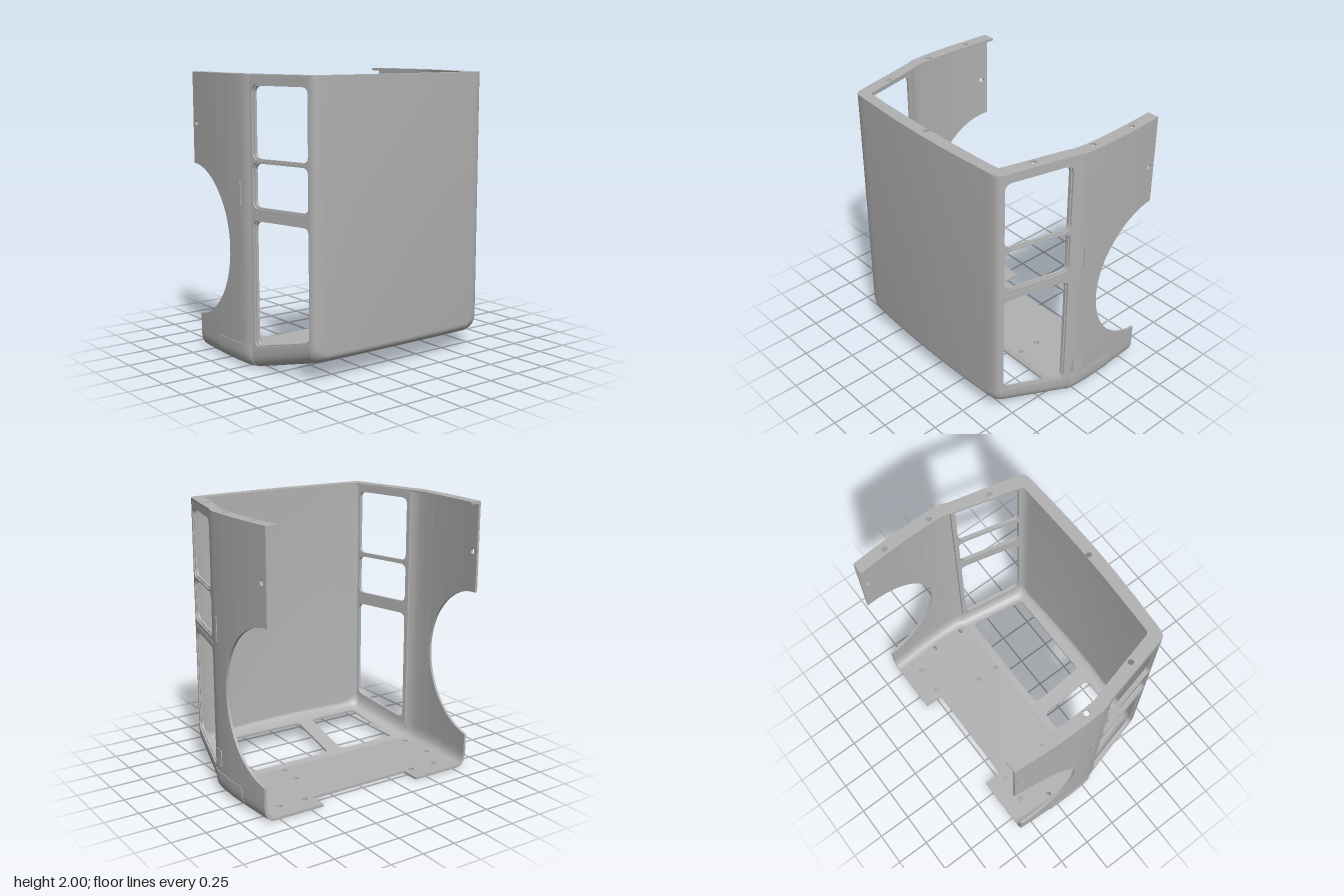
import * as THREE from 'three';
import { toCreasedNormals } from 'three/addons/utils/BufferGeometryUtils.js';

const T = 0.018; // sheet thickness

// Plan stations of one half: outer x, z and the matching inner (flange / floor edge) x, z
const STATIONS = [
  [-0.66, 0.862, -0.66, 0.775], [-0.5, 0.875, -0.5, 0.787], [-0.3, 0.885, -0.3, 0.797],
  [-0.145, 0.887, -0.145, 0.8], [0, 0.882, 0, 0.793], [0.05, 0.873, 0.05, 0.782],
  [0.08, 0.857, 0.07, 0.773], [0.58, 0.738, 0.532, 0.655], [0.602, 0.73, 0.54, 0.651],
  [0.618, 0.712, 0.546, 0.645], [0.626, 0.685, 0.55, 0.635], [0.63, 0.63, 0.553, 0.6],
  [0.643, 0.4, 0.561, 0.4], [0.651, 0.2, 0.567, 0.2], [0.654, 0, 0.569, 0],
];
const PILLAR = 6, CORNER = 7;
const flipZ = ([x, z, ix, iz]) => [x, -z, ix, -iz];
const bothHalves = (half) => [...half, ...half.slice(0, -1).reverse().map(flipZ)];

// Station at any x along the side
function at(x) {
  let i = 0;
  while (i < CORNER - 1 && x > STATIONS[i + 1][0]) i++;
  const a = STATIONS[i], b = STATIONS[i + 1], k = (x - a[0]) / (b[0] - a[0]);
  return a.map((v, n) => v + (b[n] - v) * k);
}

const bottom = (x) => Math.max(0, (x - 0.07) * 0.25);       // floor rises towards the end panel
const archOffset = (x) => 0.55 * Math.sqrt(Math.max(0, 1 - ((x + 0.66) / 0.515) ** 2));
const archTop = (x) => 0.8 + archOffset(x);
const archLow = (x) => 0.8 - archOffset(x);
const bendHeight = (z) => 0.05 + 0.07 * Math.min(1, Math.max(0, (Math.abs(z) - 0.62) / 0.1));

// Wall section between two heights
function wallSection(s, top, low) {
  const f = T / Math.hypot(s[0] - s[2], s[1] - s[3]);
  const p = (k, y) => new THREE.Vector3(s[0] + (s[2] - s[0]) * k, y, s[1] + (s[3] - s[1]) * k);
  return { outer: [p(0, top), p(0, low)], inner: [p(f, top), p(f, low)] };
}

// Section with the rounded bend into the floor; top is optional, raise pushes it outwards
function bendSection(s, top, raise = 0) {
  const len = Math.hypot(s[0] - s[2], s[1] - s[3]), y0 = bottom(s[0]), y1 = bottom(s[2]);
  const side = (f, lift) => {
    const pts = top === undefined ? [] : [[f, top]];
    for (let i = 0; i <= 7; i++) {
      const t = i / 7, u = 1 - t;
      pts.push([f * (1 - t * t) + t * t,
        u * u * (y0 + bendHeight(s[1])) + 2 * u * t * (y0 + lift) + t * t * (y1 + lift)]);
    }
    return pts.map(([k, y]) => new THREE.Vector3(s[0] + (s[2] - s[0]) * k, y, s[1] + (s[3] - s[1]) * k));
  };
  return { outer: side(-raise / len, 0), inner: side(T / len, T) };
}

// Closed solid through a row of sections
function loft(sections) {
  const n = sections[0].outer.length, m = 2 * n, pos = [], idx = [];
  for (const s of sections) for (const p of [...s.outer, ...[...s.inner].reverse()]) pos.push(p.x, p.y, p.z);
  for (let i = 0; i < sections.length - 1; i++) {
    for (let j = 0; j < m; j++) {
      const a = i * m + j, b = i * m + (j + 1) % m;
      idx.push(a, b, a + m, b, b + m, a + m);
    }
  }
  const e = (sections.length - 1) * m;
  for (let k = 0; k < n - 1; k++) {
    const o = k, o2 = k + 1, q = m - 1 - k, q2 = m - 2 - k;
    idx.push(o, q, o2, o2, q, q2, e + o, e + o2, e + q, e + o2, e + q2, e + q);
  }
  const g = new THREE.BufferGeometry();
  g.setAttribute('position', new THREE.Float32BufferAttribute(pos, 3));
  g.setIndex(idx);
  return g;
}

// Polygon with rounded corners
function rounded(corners, r, path = new THREE.Path()) {
  const v = corners.map((c) => new THREE.Vector2(...c)), n = v.length;
  v.forEach((c, i) => {
    const toward = (o) => c.clone().add(o.clone().sub(c).setLength(r));
    const a = toward(v[(i + n - 1) % n]), b = toward(v[(i + 1) % n]);
    if (i) path.lineTo(a.x, a.y); else path.moveTo(a.x, a.y);
    path.quadraticCurveTo(c.x, c.y, b.x, b.y);
  });
  path.closePath();
  return path;
}
const rect = (x0, x1, y0, y1) => [[x0, y0], [x1, y0], [x1, y1], [x0, y1]];
const polygon = (pts) => new THREE.Shape(pts.map((p) => new THREE.Vector2(...p)));
const circle = (x, y, r = 0.02) => new THREE.Path().absarc(x, y, r, 0, Math.PI * 2);
const grow = (pts, m) => {
  const cx = pts.reduce((s, p) => s + p[0], 0) / 4, cy = pts.reduce((s, p) => s + p[1], 0) / 4;
  return pts.map(([x, y]) => [x + m * Math.sign(x - cx), y + m * Math.sign(y - cy)]);
};

function moveVertices(g, rule) {
  const p = g.attributes.position, v = new THREE.Vector3();
  for (let i = 0; i < p.count; i++) {
    rule(v.fromBufferAttribute(p, i));
    p.setXYZ(i, v.x, v.y, v.z);
  }
  return g;
}

// Flat side sheet sheared onto the plan line; out is its outer face offset
function sideSheet(shape, holes, depth, out = 0) {
  shape.holes = holes;
  const g = new THREE.ExtrudeGeometry(shape, { depth, bevelEnabled: false, curveSegments: 8 });
  return moveVertices(g, (v) => { v.z += at(v.x)[1] + out - depth; });
}

// Horizontal sheet drawn in x, z
function flatSheet(pts, holes, y, slope = false) {
  const shape = polygon(pts);
  shape.holes = holes;
  const g = new THREE.ExtrudeGeometry(shape, { depth: T, bevelEnabled: false, curveSegments: 8 });
  g.rotateX(Math.PI / 2).translate(0, y + T, 0);
  return slope ? moveVertices(g, (v) => { v.y += bottom(v.x); }) : g;
}

function finish(geometry, mirror) {
  const g = geometry.index ? geometry.toNonIndexed() : geometry.clone();
  g.deleteAttribute('uv');
  g.clearGroups();
  if (mirror) {
    const a = g.attributes.position.array;
    for (let i = 0; i < a.length; i += 9) {
      for (let k = 0; k < 3; k++) [a[i + 3 + k], a[i + 6 + k]] = [a[i + 6 + k], a[i + 3 + k]];
      for (let k = 2; k < 9; k += 3) a[i + k] *= -1;
    }
  }
  return toCreasedNormals(g, 0.5);
}

export function createModel() {
  const model = new THREE.Group();
  model.name = 'cabShell';
  const grey = new THREE.MeshStandardMaterial({ color: 0xb2b2b2 });
  grey.name = 'panelGrey';
  const add = (name, geometry, mirror = false) => {
    const mesh = new THREE.Mesh(finish(geometry, mirror), grey);
    mesh.name = name;
    model.add(mesh);
  };
  const pair = (name, geometry) => {
    add(name + 'Left', geometry);
    add(name + 'Right', geometry, true);
  };
  const archXs = (x0) => {
    const a0 = Math.asin((x0 + 0.66) / 0.515);
    return Array.from({ length: 21 }, (_, i) => -0.66 + 0.515 * Math.sin(a0 + (Math.PI / 2 - a0) * i / 20));
  };
  const ROOF = 2 - T / 2;

  // Wheel arch side walls
  const stripXs = [-0.66, -0.62, -0.58, -0.54];
  pair('rearEdge', sideSheet(polygon([[-0.54, ROOF], [-0.66, ROOF], ...stripXs.map((x) => [x, archTop(x)])]),
    [circle(-0.61, 1.64)], T));
  pair('upperArch', loft(archXs(-0.54).map((x) => wallSection(at(x), ROOF, archTop(x)))));
  pair('lowerArch', loft(archXs(-0.6).map((x) => bendSection(at(x), archLow(x)))));
  pair('sidePillar', loft([-0.145, -0.07, 0, 0.05, 0.08].map((x) => bendSection(at(x), ROOF))));

  // Window side: bend below, thin outer skin and smaller-holed inner frame
  pair('windowSill', loft([0.08, 0.58].map((x) => bendSection(at(x)))));
  const sill = (x) => bottom(x) + bendHeight(at(x)[1]);
  const windows = [rect(0.11, 0.565, 1.445, 1.925), rect(0.11, 0.565, 1.12, 1.415),
    [[0.11, 0.165], [0.567, 0.272], [0.567, 1.027], [0.11, 1.027]]];
  const panel = () => polygon([[0.08, sill(0.08)], [0.58, sill(0.58)], [0.58, ROOF], [0.08, ROOF]]);
  pair('windowSkin', sideSheet(panel(), windows.map((w) => rounded(grow(w, 0.009), 0.055)), 0.012));
  pair('windowFrame', sideSheet(panel(), windows.map((w) => rounded(w, 0.05)), 0.02, -0.012));

  // Large bowed end panel with its two rounded corners
  add('endPanel', loft(bothHalves(STATIONS.slice(CORNER)).map((s) => bendSection(s, ROOF))));

  // Top rim with bolt holes
  const ring = bothHalves(STATIONS);
  const rimHoles = [circle(0.59, 0)];
  for (const s of [1, -1]) {
    for (const [x, z] of [[-0.44, 0.828], [-0.085, 0.828], [0.34, 0.735], [0.58, 0.42]]) rimHoles.push(circle(x, s * z));
  }
  add('topRim', flatSheet([...ring.map((s) => [s[0], s[1]]), ...[...ring].reverse().map((s) => [s[2], s[3]])],
    rimHoles, 2 - T));

  // Flat floor with rear notch and bolt holes
  const edge = [at(-0.6), ...STATIONS.slice(1, PILLAR + 1)].map((s) => [s[2], s[3]]);
  const floorHoles = [circle(-0.13, -0.33), circle(0.035, -0.33)];
  for (const s of [1, -1]) {
    for (const [x, z] of [[-0.46, 0.67], [-0.46, 0.465], [-0.26, 0.77], [0, 0.765]]) floorHoles.push(circle(x, s * z));
  }
  add('floor', flatSheet([...edge, ...[...edge].reverse().map(([x, z]) => [x, -z]),
    [-0.6, -0.4], [-0.46, -0.4], [-0.46, 0.4], [-0.6, 0.4]], floorHoles, 0));

  // Sloping floor with two openings
  add('slopedFloor', flatSheet(bothHalves(STATIONS.slice(PILLAR)).map((s) => [s[2], s[3]]), [
    rounded([[0.12, -0.74], [0.54, -0.638], [0.54, 0.115], [0.12, 0.115]], 0.04),
    rounded([[0.12, 0.235], [0.54, 0.235], [0.54, 0.638], [0.12, 0.74]], 0.04)], 0, true));

  // Thin details: step cover, grip, waist seam, filler flap
  pair('stepCover', loft([-0.33, -0.145, 0, 0.05, 0.068].map((x) => bendSection(at(x), 0.16, 0.005))));
  pair('grip', sideSheet(rounded(rect(-0.03, -0.005, 1.11, 1.29), 0.01, new THREE.Shape()), [], 0.008, 0.006));
  pair('waistSeam', sideSheet(polygon(rect(0.08, 0.58, 1.07, 1.08)), [], 0.008, 0.004));
  add('fillerFlap', sideSheet(rounded(rect(-0.05, 0.045, 0.2, 0.33), 0.02, new THREE.Shape()), [], 0.009, 0.007), true);
  return model;
}
